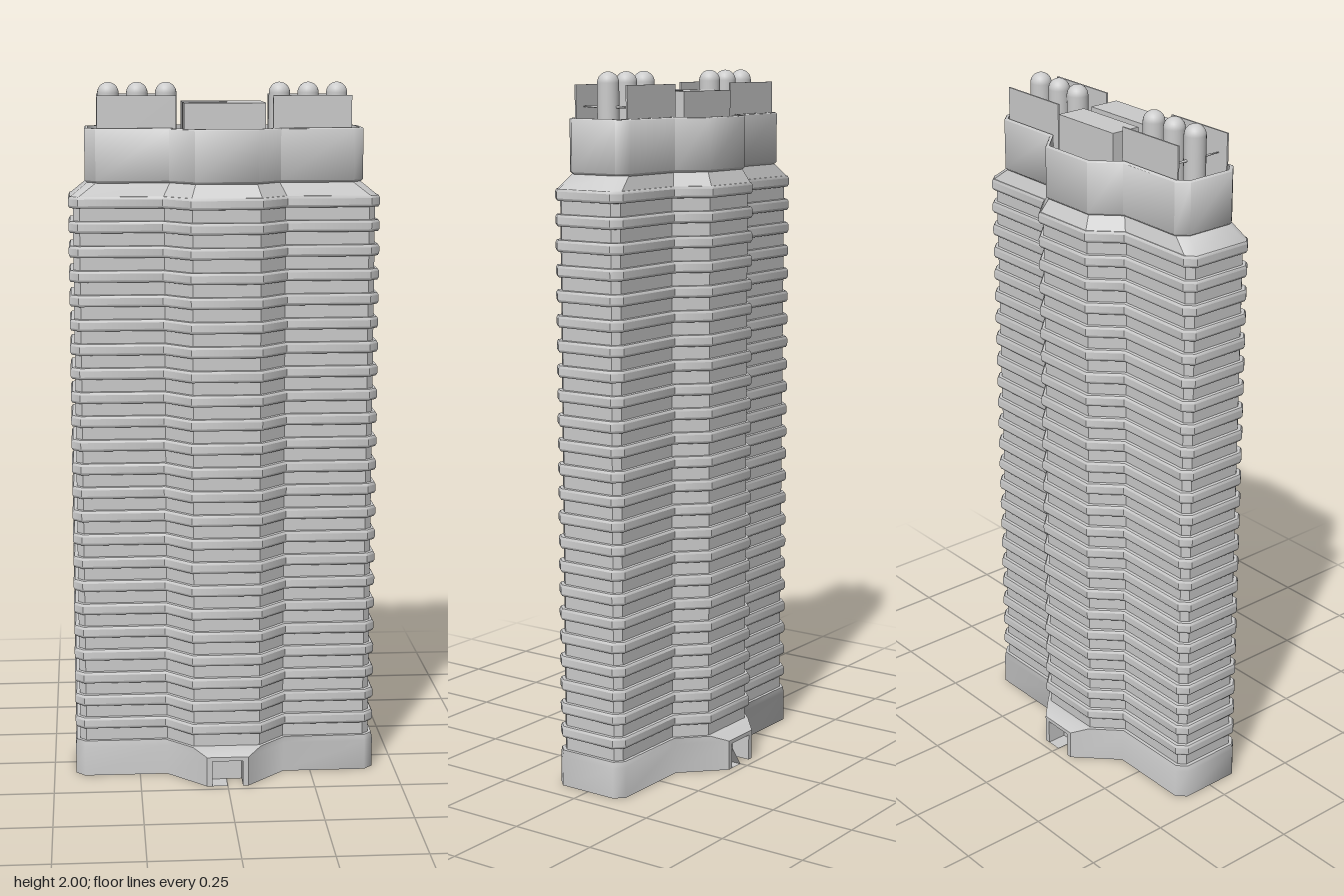
import * as THREE from 'three';
import { toCreasedNormals } from 'three/addons/utils/BufferGeometryUtils.js';

const grey = new THREE.MeshStandardMaterial({ color: 0xcccccc });
const greyDouble = new THREE.MeshStandardMaterial({ color: 0xcccccc, side: THREE.DoubleSide });

// Plan specs: w/d = half size of the wings, c = corner chamfer, D/n = depth and half width of the central bay
const BODY = { w: 0.437, d: 0.115, c: 0.026, D: 0.19, n: 0.1 };
const BASE = { w: 0.437, d: 0.115, c: 0.026, D: 0.226, n: 0.06 };
const CROWN = { w: 0.39, d: 0.103, c: 0.03, D: 0.171, n: 0.088 };

// Cross-shaped outline, offset inwards by t; runs from +x towards +z
function outline(s, t) {
  const w = s.w - t, d = s.d - t, D = s.D - t;
  const n = s.n - 0.414 * t, c = s.c - 0.586 * t;
  const q = [[w, d - c], [w - c, d], [n + D - d, d], [n, D]];
  const r = [...q].reverse();
  return [
    ...q,
    ...r.map(([x, z]) => [-x, z]),
    ...q.map(([x, z]) => [-x, -z]),
    ...r.map(([x, z]) => [x, -z]),
  ];
}

// Skin rings of [spec, inset, y]; optional caps; bay faces of the first band can be left open
function loft(rings, { crease = 0.6, top = false, bottom = false, openBays = false } = {}) {
  const pos = [], idx = [], N = 16;
  for (const [s, t, y] of rings) for (const [x, z] of outline(s, t)) pos.push(x, y, z);
  for (let r = 0; r < rings.length - 1; r++) {
    for (let i = 0; i < N; i++) {
      if (openBays && r === 0 && (i === 3 || i === 11)) continue;
      const j = (i + 1) % N;
      const a = r * N + i, b = r * N + j, c = a + N, d = b + N;
      idx.push(a, c, b, b, c, d);
    }
  }
  const cap = (r, up) => {
    const centre = pos.length / 3;
    pos.push(0, rings[r][2], 0);
    for (let i = 0; i < N; i++) {
      const a = r * N + i, b = r * N + (i + 1) % N;
      idx.push(centre, up ? b : a, up ? a : b);
    }
  };
  if (top) cap(rings.length - 1, true);
  if (bottom) cap(0, false);
  const g = new THREE.BufferGeometry();
  g.setAttribute('position', new THREE.Float32BufferAttribute(pos, 3));
  g.setIndex(idx);
  return toCreasedNormals(g, crease);
}

export function createModel() {
  const model = new THREE.Group();
  model.name = 'tower';
  const add = (name, geometry, x = 0, y = 0, z = 0, material = grey, parent = model) => {
    const m = new THREE.Mesh(geometry, material);
    m.name = name;
    m.position.set(x, y, z);
    parent.add(m);
    return m;
  };

  // Hollow base with a sloping ledge, and a doorway in each bay
  add('base', loft([[BASE, 0, 0], [BASE, 0, 0.087], [BODY, 0.003, 0.105], [BODY, 0.014, 0.105]],
    { crease: 0.8, openBays: true }), 0, 0, 0, greyDouble);
  const frame = new THREE.Shape();
  [[-0.06, 0], [-0.05, 0], [-0.035, 0.075], [0.035, 0.075], [0.05, 0], [0.06, 0], [0.06, 0.087], [-0.06, 0.087]]
    .forEach(([x, y]) => {
      // door jambs are upright, just inside the bay corners
      const px = Math.abs(x) < 0.055 ? Math.sign(x) * 0.044 : x;
      frame.lineTo(px, y);
    });
  const frameGeo = new THREE.ExtrudeGeometry(frame, { depth: 0.06, bevelEnabled: false });
  for (const side of [1, -1]) {
    const entrance = new THREE.Group();
    entrance.name = side > 0 ? 'frontEntrance' : 'backEntrance';
    entrance.rotation.y = side > 0 ? 0 : Math.PI;
    add('doorFrame', frameGeo, 0, 0, 0.166, grey, entrance);
    add('door', new THREE.BoxGeometry(0.1, 0.08, 0.006), 0, 0.04, 0.165, grey, entrance);
    model.add(entrance);
  }

  // Recessed shaft of the tower
  add('shaft', loft([[BODY, 0.013, 0.1], [BODY, 0.013, 1.69]], { bottom: true }));

  // Rounded floor bands
  const band = loft([
    [BODY, 0.014, -0.017], [BODY, 0.004, -0.016], [BODY, 0, -0.009],
    [BODY, 0, 0.009], [BODY, 0.004, 0.016], [BODY, 0.014, 0.017],
  ], { crease: 0.75 });
  const bands = new THREE.Group();
  bands.name = 'floorBands';
  for (let i = 0; i < 23; i++) add('floorBand', band, 0, 0.159 + i * 0.0688, 0, grey, bands);
  model.add(bands);

  // Sloping shoulder below the crown
  add('shoulder', loft([[BODY, 0.006, 1.688], [CROWN, 0.008, 1.728]], { top: true }));

  // Crown: parapet wall with a sunken roof deck
  add('crown', loft([
    [CROWN, 0.008, 1.724], [CROWN, 0, 1.732], [CROWN, 0, 1.873],
    [CROWN, 0.003, 1.876], [CROWN, 0.01, 1.876], [CROWN, 0.012, 1.8],
  ], { crease: 0.85, top: true }));

  // Pair of plant housings in the middle of the roof
  for (const [z, depth] of [[0.056, 0.09], [-0.059, 0.088]]) {
    add('plantHousing', new THREE.BoxGeometry(0.228, 0.147, depth), 0, 1.8715, z);
  }

  // Domed tanks between screens, on both wings
  const R = 0.03;
  const profile = [new THREE.Vector2(R, 1.79)];
  for (let i = 0; i <= 8; i++) {
    const a = (i / 8) * Math.PI / 2;
    profile.push(new THREE.Vector2(R * Math.cos(a), 2 - R + R * Math.sin(a)));
  }
  const tank = new THREE.LatheGeometry(profile, 24);
  const rod = new THREE.CylinderGeometry(0.0015, 0.004, 0.058, 8);
  for (const side of [1, -1]) {
    const wing = new THREE.Group();
    wing.name = side > 0 ? 'leftRoofPlant' : 'rightRoofPlant';
    for (const x of [0.16, 0.241, 0.322]) {
      add('tank', tank, side * x, 0, 0, grey, wing);
      for (const s of [1, -1]) {
        const r = add('tankBrace', rod, side * x, 1.906, s * 0.057, grey, wing);
        r.rotation.x = s * Math.PI / 2;
      }
    }
    for (const s of [1, -1]) {
      add('screen', new THREE.BoxGeometry(0.22, 0.166, 0.005), side * 0.245, 1.882, s * 0.086, grey, wing);
    }
    model.add(wing);
  }
  return model;
}
